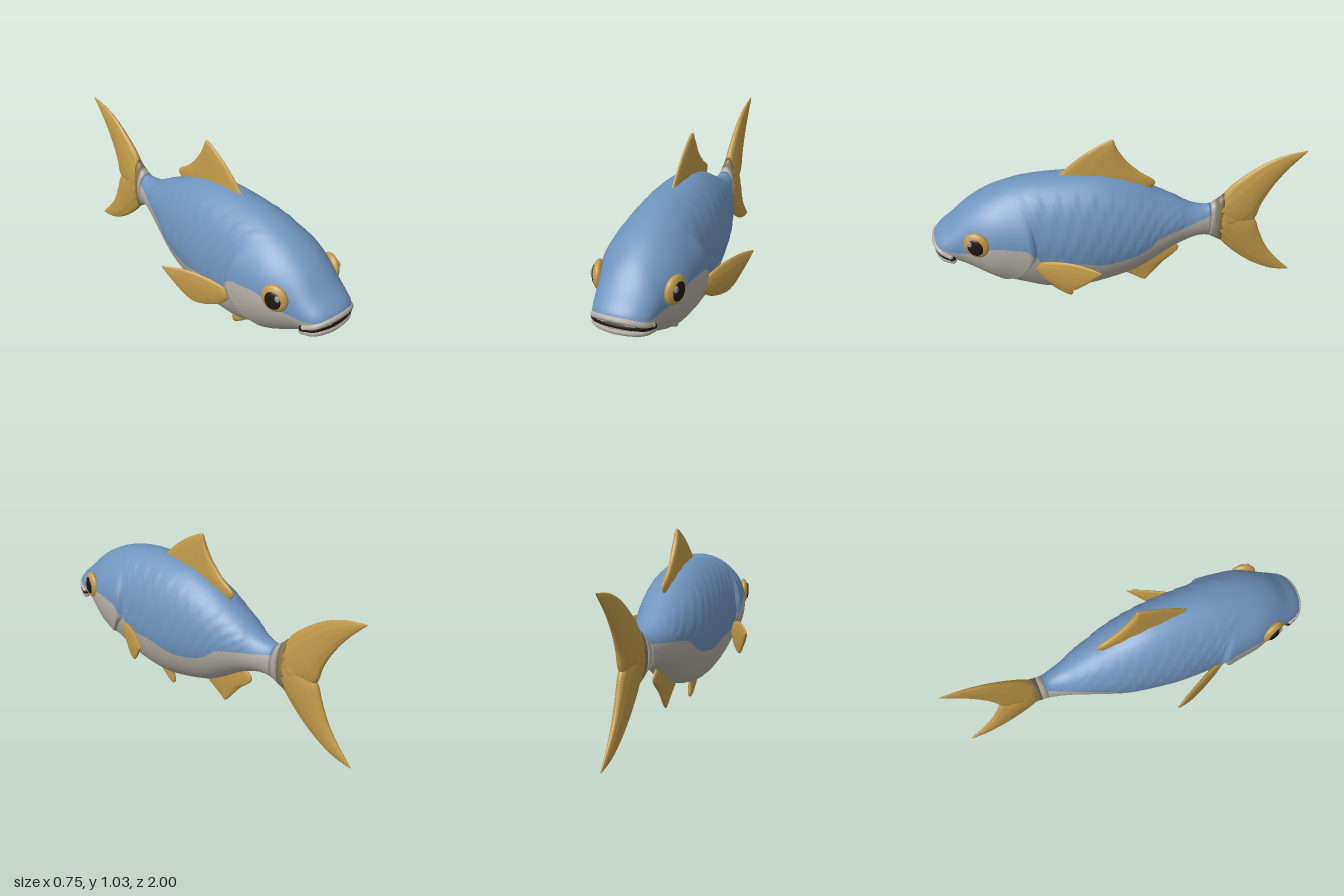
import * as THREE from 'three';

const mat = (name, color, side = THREE.FrontSide) => {
  const m = new THREE.MeshStandardMaterial({ color, side });
  m.name = name;
  return m;
};
const clamp = THREE.MathUtils.clamp;

// Rows: z, top y, bottom y, half width, height of the back/belly colour line
const PROFILE = [
  [-0.58, 0.67, 0.35, 0.04, 0.56], [-0.54, 0.63, 0.375, 0.05, 0.56],
  [-0.5, 0.6, 0.4, 0.06, 0.555], [-0.45, 0.598, 0.41, 0.075, 0.545],
  [-0.4, 0.61, 0.4, 0.09, 0.535], [-0.3, 0.665, 0.355, 0.125, 0.52],
  [-0.2, 0.72, 0.285, 0.155, 0.49], [-0.15, 0.75, 0.25, 0.17, 0.445],
  [-0.08, 0.785, 0.21, 0.187, 0.41], [0, 0.815, 0.18, 0.2, 0.39],
  [0.08, 0.835, 0.155, 0.21, 0.38], [0.2, 0.845, 0.13, 0.222, 0.41],
  [0.42, 0.838, 0.145, 0.226, 0.45], [0.47, 0.83, 0.165, 0.228, 0.525],
  [0.56, 0.81, 0.2, 0.225, 0.545], [0.66, 0.775, 0.24, 0.22, 0.55],
  [0.74, 0.735, 0.285, 0.2, 0.51], [0.82, 0.68, 0.335, 0.168, 0.49],
  [0.9, 0.6, 0.385, 0.148, 0.49], [0.95, 0.56, 0.41, 0.125, 0.5],
  [0.975, 0.535, 0.43, 0.09, 0.51], [0.985, 0.52, 0.45, 0.06, 0.51],
];
const profile = new THREE.CubicInterpolant(
  PROFILE.map((r) => r[0]), PROFILE.flatMap((r) => r.slice(1)), 4, new Float32Array(4));

// Skin over closed rings of points, capped at both ends; group(j) picks a material slot per strip
function loft(rings, group = () => 0) {
  const n = rings[0].length, pts = rings.flat(), strips = [[], []];
  const caps = [rings[0], rings[rings.length - 1]].map((ring) => {
    const c = new THREE.Vector3();
    ring.forEach((p) => c.addScaledVector(p, 1 / n));
    return pts.push(c) - 1;
  });
  const last = (rings.length - 1) * n;
  for (let j = 0; j < n; j++) {
    const k = (j + 1) % n, out = strips[group(j)];
    for (let i = 0; i < rings.length - 1; i++) {
      const a = i * n + j, b = i * n + k;
      out.push(a, b, a + n, b, b + n, a + n);
    }
    out.push(caps[0], k, j, caps[1], last + j, last + k);
  }
  // Turn the faces outward if the enclosed volume is negative
  const index = strips.flat(), cross = new THREE.Vector3();
  let volume = 0;
  for (let i = 0; i < index.length; i += 3)
    volume += pts[index[i]].dot(cross.crossVectors(pts[index[i + 1]], pts[index[i + 2]]));
  if (volume < 0)
    for (let i = 0; i < index.length; i += 3) [index[i], index[i + 1]] = [index[i + 1], index[i]];
  const geo = new THREE.BufferGeometry().setFromPoints(pts);
  geo.setIndex(index);
  geo.addGroup(0, strips[0].length, 0);
  geo.addGroup(strips[0].length, strips[1].length, 1);
  geo.computeVertexNormals();
  return geo;
}

// One ring of the body; the ring bends along the gill edge and carries faint scales
const N = 14;
function bodyRing(zc) {
  const ring = [];
  const at = (z, j) => {
    const [top, bot, w, line] = profile.evaluate(z);
    const mid = (top + bot) / 2, h = (top - bot) / 2;
    const b = Math.asin(clamp((line - mid) / h, -0.9, 0.9));
    const a = j <= N ? THREE.MathUtils.lerp(-Math.PI / 2, b, j / N)
      : THREE.MathUtils.lerp(b, Math.PI / 2, (j - N) / N);
    return [w * Math.cos(a), mid + h * Math.sin(a)];
  };
  for (let i = 0; i < 4 * N; i++) {
    const j = i <= 2 * N ? i : 4 * N - i;
    const d = at(zc, j)[1] - 0.52;
    const bend = Math.min(0.17, (d < 0 ? 2 : 1.5) * d * d);
    const z = Math.min(0.985, zc + bend * Math.max(0, 1 - Math.abs(zc - 0.45) / 0.4));
    let [x, y] = at(z, j);
    if (zc > 0.448) x *= 1 + 0.1 * clamp(1 - (zc - 0.45) / 0.3, 0, 1) * clamp((0.74 - y) / 0.12, 0, 1);
    else if (zc > -0.35 && j > N && j < 2 * N - 4) {
      const s = zc / 0.075 + (Math.floor(j / 2) % 2) / 2;
      x += 0.005 * (1 - (s - Math.floor(s)));
    }
    ring.push(new THREE.Vector3(i > 2 * N ? -x : x, y, z));
  }
  return ring;
}

// Lens-shaped fin. Rows: lead z, lead y, trail z, trail y, half thickness
function fin(rows, spread = () => 0) {
  const lead = new THREE.CatmullRomCurve3(rows.map((r) => new THREE.Vector3(r[4], r[1], r[0])));
  const trail = new THREE.CatmullRomCurve3(rows.map((r) => new THREE.Vector3(0, r[3], r[2])));
  const rings = [], steps = 20, n = 28;
  for (let i = 0; i <= steps; i++) {
    const L = lead.getPoint(i / steps), T = trail.getPoint(i / steps), ring = [];
    for (let k = 0; k < n; k++) {
      const t = (k / n) * Math.PI * 2, m = (1 + Math.cos(t)) / 2;
      const rib = 1 + 0.12 * Math.sin(m * 28);
      const y = T.y + (L.y - T.y) * m, z = T.z + (L.z - T.z) * m;
      ring.push(new THREE.Vector3(L.x * Math.sin(t) * rib + spread(z), y, z));
    }
    rings.push(ring);
  }
  return loft(rings);
}

export function createModel() {
  const model = new THREE.Group();
  model.name = 'fish';
  const blue = mat('back blue', 0x6f94be), grey = mat('belly grey', 0xb3aea5);
  const gold = mat('fin gold', 0xc29a48, THREE.DoubleSide), khaki = mat('tail root khaki', 0x8c7c56);
  const dark = mat('dark', 0x1d1614), glint = mat('eye grey', 0x9b9b99);
  const add = (name, geo, material, parent = model) => {
    const mesh = new THREE.Mesh(geo, material);
    mesh.name = name;
    parent.add(mesh);
    return mesh;
  };

  // Body, with a step at the gill edge
  const stations = [];
  for (let z = -0.505; z < 0.44; z += 0.0125) stations.push(z);
  stations.push(0.444);
  for (let z = 0.452; z < 0.955; z += 0.02) stations.push(z);
  stations.push(0.965, 0.975, 0.985);
  add('body', loft(stations.map(bodyRing), (j) => (j >= N && j < 3 * N ? 0 : 1)), [blue, grey]);
  add('tailBand', loft([-0.505, -0.52, -0.54].map(bodyRing)), grey);
  add('tailRoot', loft([-0.54, -0.56, -0.578].map(bodyRing)), khaki);

  // Mouth: lips and the dark gap between them follow the snout
  const mouthPart = (name, corner, centre, back, radius, material) => {
    const half = [[0.142, 0, 0.895], [0.122, 0.5, 0.943], [0.07, 0.88, 0.973]];
    const pt = (x, f, z) => new THREE.Vector3(x, corner + (centre - corner) * f, z - back);
    const path = [
      ...half.map(([x, f, z]) => pt(-x, f, z)), pt(0, 1, 0.983),
      ...half.reverse().map(([x, f, z]) => pt(x, f, z)),
    ];
    add(name, new THREE.TubeGeometry(new THREE.CatmullRomCurve3(path), 40, radius, 10), material);
    for (const end of [path[0], path[6]])
      add(name + 'Corner', new THREE.SphereGeometry(radius, 12, 8), material).position.copy(end);
  };
  mouthPart('upperLip', 0.452, 0.505, 0, 0.016, grey);
  mouthPart('mouthGap', 0.442, 0.475, 0.008, 0.018, dark);
  mouthPart('lowerLip', 0.428, 0.44, 0.01, 0.018, grey);

  // Fins on the centre line
  add('dorsalFin', fin([
    [0.33, 0.82, -0.16, 0.71, 0.025], [0.25, 0.895, -0.2, 0.765, 0.023], [0.17, 0.96, -0.12, 0.83, 0.02],
    [0.09, 1.01, -0.05, 0.9, 0.017], [0.05, 1.03, 0, 0.975, 0.013], [0.03, 1.037, 0.02, 1.03, 0.006],
  ]), gold);
  add('pelvicFin', fin([
    [0.46, 0.17, 0.26, 0.17, 0.02], [0.38, 0.085, 0.265, 0.08, 0.018],
    [0.31, 0.025, 0.257, 0.03, 0.014], [0.275, 0.002, 0.26, 0.012, 0.006],
  ]), gold);
  add('analFin', fin([
    [0.03, 0.2, -0.29, 0.37, 0.022], [-0.05, 0.15, -0.345, 0.315, 0.02],
    [-0.1, 0.12, -0.26, 0.22, 0.015], [-0.14, 0.095, -0.19, 0.13, 0.01], [-0.155, 0.088, -0.17, 0.105, 0.005],
  ]), gold);

  // Forked tail
  add('upperTailLobe', fin([
    [-0.56, 0.64, -0.575, 0.4, 0.042], [-0.6, 0.7, -0.755, 0.485, 0.038], [-0.7, 0.79, -0.785, 0.58, 0.03],
    [-0.8, 0.855, -0.83, 0.68, 0.022], [-0.9, 0.893, -0.9, 0.79, 0.014], [-1, 0.912, -1, 0.905, 0.003],
  ]), gold);
  add('lowerTailLobe', fin([
    [-0.56, 0.38, -0.575, 0.62, 0.042], [-0.6, 0.325, -0.755, 0.495, 0.038], [-0.7, 0.23, -0.795, 0.4, 0.03],
    [-0.8, 0.16, -0.845, 0.29, 0.022], [-0.9, 0.115, -0.91, 0.2, 0.014], [-1, 0.098, -1, 0.106, 0.003],
  ]), gold);

  // Eye and pectoral fin, mirrored
  const pectoral = fin([
    [0.46, 0.39, 0.46, 0.425, 0.014], [0.4, 0.33, 0.38, 0.46, 0.018], [0.33, 0.302, 0.3, 0.483, 0.018],
    [0.27, 0.303, 0.22, 0.49, 0.016], [0.2, 0.365, 0.15, 0.482, 0.012], [0.13, 0.455, 0.115, 0.472, 0.005],
  ], (z) => 0.215 + (0.43 - z) * 0.5);
  const ball = new THREE.SphereGeometry(1, 28, 18);
  for (const s of [1, -1]) {
    const side = new THREE.Group();
    side.name = s > 0 ? 'leftSide' : 'rightSide';
    side.scale.x = s;
    model.add(side);
    add('pectoralFin', pectoral, gold, side);
    const eye = new THREE.Group();
    eye.name = 'eye';
    eye.position.set(0.192, 0.56, 0.745);
    eye.rotation.y = Math.PI / 2 - 0.3;
    side.add(eye);
    add('iris', ball, gold, eye).scale.set(0.07, 0.075, 0.03);
    const pupil = add('pupil', ball, dark, eye);
    pupil.scale.set(0.043, 0.05, 0.012);
    pupil.position.z = 0.022;
    const spot = add('eyeGlint', ball, glint, eye);
    spot.scale.set(0.014, 0.018, 0.006);
    spot.position.set(-0.026, 0.024, 0.029);
  }
  return model;
}
